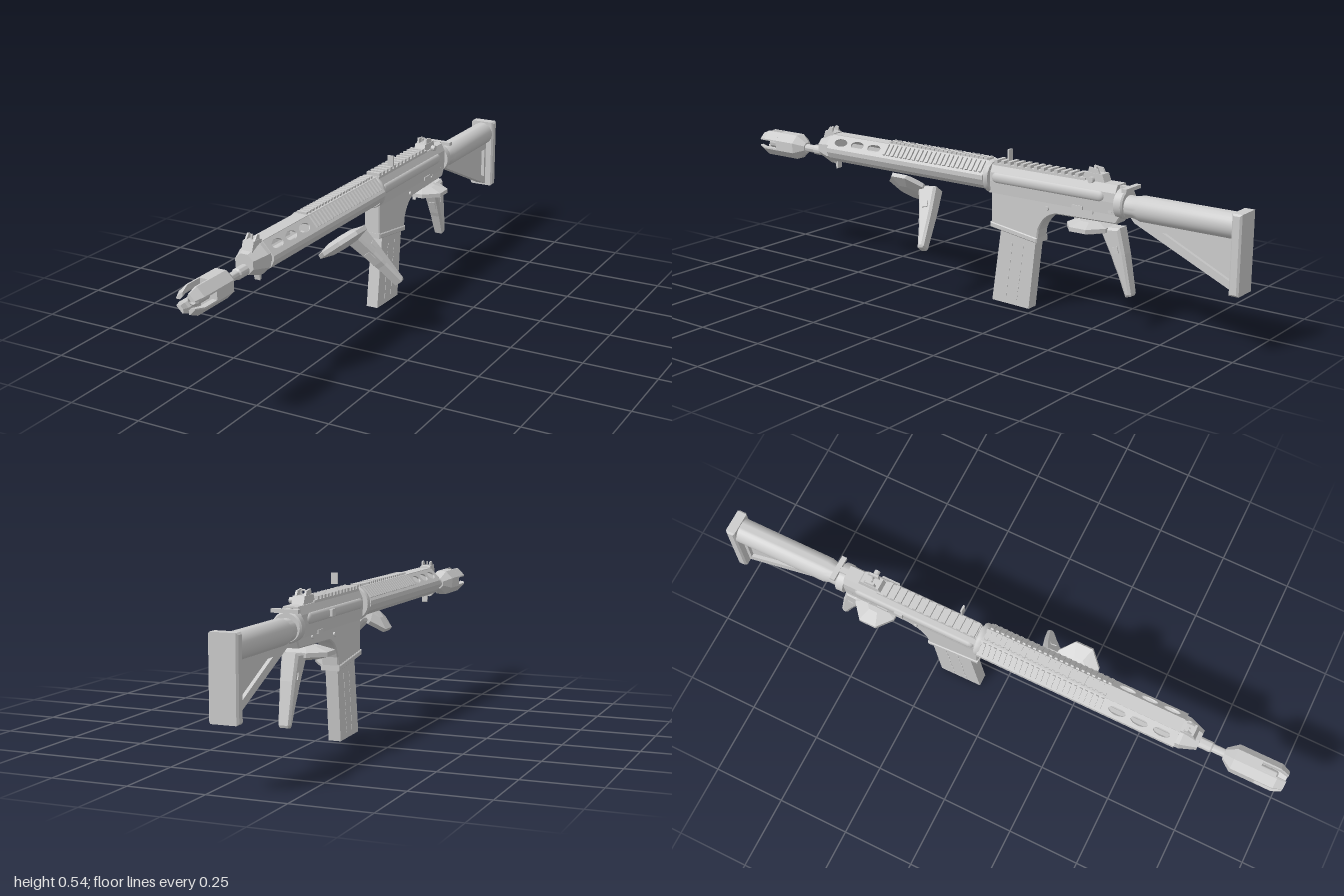
import * as THREE from 'three';
import { toCreasedNormals } from 'three/addons/utils/BufferGeometryUtils.js';

const grey = new THREE.MeshStandardMaterial({ color: 0xcccccc });
const flat = new THREE.MeshStandardMaterial({ color: 0xcccccc, flatShading: true });
const AXIS = 0.41;

function add(parent, name, geo, mat = flat) {
  const m = new THREE.Mesh(geo, mat);
  m.name = name;
  parent.add(m);
  return m;
}
const toShape = pts => new THREE.Shape(pts.map(p => new THREE.Vector2(p[0], p[1])));

function box(parent, name, w, h, d, x, y, z) {
  const m = add(parent, name, new THREE.BoxGeometry(w, h, d));
  m.position.set(x, y, z);
  return m;
}
// side profile in (z, y), extruded across x
function side(parent, name, shape, width, x = 0, bevel = 0) {
  const s = Array.isArray(shape) ? toShape(shape) : shape;
  const g = new THREE.ExtrudeGeometry(s, {
    depth: width - 2 * bevel, bevelEnabled: bevel > 0, bevelSize: bevel,
    bevelOffset: -bevel, bevelThickness: bevel, bevelSegments: 1, curveSegments: 8,
  });
  g.translate(0, 0, -width / 2 + bevel).rotateY(-Math.PI / 2).translate(x, 0, 0);
  return add(parent, name, g);
}
// front profile in (x, y), extruded from z0 to z1
function along(parent, name, pts, z0, z1) {
  const g = new THREE.ExtrudeGeometry(toShape(pts), { depth: z1 - z0, bevelEnabled: false });
  g.translate(0, 0, z0);
  return add(parent, name, g);
}
// turned part on the z axis from [radius, z] pairs
function turned(parent, name, pts, sides = 32, y = AXIS) {
  const g = new THREE.LatheGeometry(pts.map(p => new THREE.Vector2(p[0], p[1])), sides);
  g.rotateX(Math.PI / 2);
  if (sides < 12) g.rotateZ(Math.PI / sides);
  g.translate(0, y, 0);
  return add(parent, name, sides < 12 ? g : toCreasedNormals(g, 0.6), sides < 12 ? flat : grey);
}
const mirrorX = pts => pts.concat(pts.slice().reverse().map(([x, y]) => [-x, y]));

// grip: faceted wide collar with a raked, tapered handle
function grip(name) {
  const g = new THREE.Group();
  g.name = name;
  const collar = new THREE.LatheGeometry(
    [[0, -0.022], [0.5, -0.02], [1, -0.007], [1, 0.007], [0.5, 0.02], [0, 0.022]]
      .map(p => new THREE.Vector2(...p)), 8);
  collar.rotateY(Math.PI / 8).scale(0.0947, 1, 0.079);
  add(g, 'gripCollar', collar);
  const handle = side(g, 'gripHandle', [[-0.115, 0.012], [-0.135, -0.07], [-0.16, -0.2],
    [-0.157, -0.208], [-0.139, -0.212], [-0.108, -0.135], [-0.1, -0.12], [-0.085, -0.085],
    [-0.04, 0.005]], 0.056, 0, 0.008);
  const p = handle.geometry.attributes.position;
  for (let i = 0; i < p.count; i++) p.setX(i, p.getX(i) * (1 + 0.3 * Math.min(0, p.getY(i)) / 0.21));
  handle.geometry.computeVertexNormals();
  for (const s of [-1, 1]) {
    box(g, 'gripButton', 0.006, 0.022, 0.02, s * 0.026, -0.06, -0.105).rotation.x = 0.3;
  }
  box(g, 'gripFrontButton', 0.024, 0.03, 0.01, 0, -0.085, -0.087).rotation.x = 0.4;
  return g;
}

export function createModel() {
  const root = new THREE.Group();
  const gun = new THREE.Group();
  gun.name = 'rifle';
  gun.position.x = -0.058;
  root.add(gun);

  // muzzle device: octagonal body with four tapered prongs
  turned(gun, 'muzzleBody', [[0, 0.79], [0.02, 0.79], [0.0475, 0.825], [0.0475, 0.91], [0, 0.91]], 8);
  for (let i = 0; i < 4; i++) {
    const m = along(gun, 'muzzleProng', [[0.013, 0.044], [0.0182, 0.044], [0.044, 0.0182],
      [0.044, 0.013], [0.026, 0.013], [0.013, 0.026]], 0.91, 0.97);
    const tip = along(gun, 'muzzleProngTip', [[0.013, 0.044], [0.0182, 0.044], [0.044, 0.0182],
      [0.044, 0.013], [0.026, 0.013], [0.013, 0.026]], 0.97, 1);
    const p = tip.geometry.attributes.position;
    for (let k = 0; k < p.count; k++) if (p.getZ(k) > 0.99) p.setXY(k, p.getX(k) * 0.72, p.getY(k) * 0.72);
    tip.geometry.computeVertexNormals();
    for (const q of [m, tip]) { q.position.y = AXIS; q.rotation.z = i * Math.PI / 2; }
  }
  turned(gun, 'muzzleCore', [[0, 0.9], [0.02, 0.9], [0.02, 0.965], [0.014, 0.97], [0.014, 0.95], [0, 0.95]]);
  turned(gun, 'barrel', [[0, 0.3], [0.018, 0.3], [0.018, 0.745], [0.014, 0.75], [0.014, 0.8], [0, 0.8]]);

  // front sight collar, post and protective ears
  turned(gun, 'frontSightCollar', [[0, 0.635], [0.054, 0.635], [0.054, 0.65], [0.034, 0.705], [0, 0.705]], 8, 0.428);
  side(gun, 'frontSightBase', [[0.635, 0.47], [0.635, 0.488], [0.65, 0.492], [0.68, 0.492], [0.695, 0.45]], 0.038);
  for (const s of [-1, 1]) {
    side(gun, 'frontSightEar', [[0.645, 0.485], [0.647, 0.505], [0.658, 0.508], [0.678, 0.485]], 0.006, s * 0.015);
  }
  box(gun, 'frontSightPost', 0.005, 0.025, 0.006, 0, 0.495, 0.66);
  side(gun, 'slingLug', [[0.63, 0.39], [0.63, 0.358], [0.638, 0.355], [0.645, 0.39]], 0.02);

  // handguard: solid rear, vented hollow front
  const lower = [[0, 0.384], [0.03, 0.389], [0.05, 0.405], [0.06, 0.425], [0.06, 0.44]];
  along(gun, 'handguardRear', mirrorX([...lower, [0.022, 0.484]]).slice(0, -1), -0.06, 0.375);
  const channel = [...lower, [0.054, 0.44], [0.054, 0.425], [0.045, 0.409], [0.028, 0.395], [0, 0.39]];
  for (const s of [1, -1]) {
    const pts = channel.map(([x, y]) => [s * x, y]);
    along(gun, 'handguardLowerShell', pts, 0.375, 0.637);
  }
  box(gun, 'handguardTopStrip', 0.046, 0.007, 0.262, 0, 0.481, 0.506);
  const dx = 0.038, dy = 0.044, len = Math.hypot(dx, dy);
  for (const s of [1, -1]) {
    const panel = new THREE.Group();
    panel.name = 'handguardSlope';
    panel.applyMatrix4(new THREE.Matrix4().makeBasis(new THREE.Vector3(0, 0, 1),
      new THREE.Vector3(-s * dx / len, dy / len, 0),
      new THREE.Vector3(-dy / len, -s * dx / len, 0)).setPosition(s * 0.06, 0.44, 0));
    gun.add(panel);
    const sh = toShape([[0.375, 0], [0.637, 0], [0.637, len], [0.375, len]]);
    for (const z of [0.43, 0.507, 0.585]) {
      sh.holes.push(new THREE.Path().absellipse(z, len * 0.5, 0.029, 0.015, 0, Math.PI * 2));
    }
    const g = new THREE.ExtrudeGeometry(sh, { depth: 0.005, bevelEnabled: false, curveSegments: 16 });
    if (s < 0) g.translate(0, 0, -0.005);
    add(panel, 'ventedPanel', g);
    for (let z = -0.045; z < 0.375; z += 0.019) box(panel, 'slopeRib', 0.01, len * 0.75, 0.012, z, len * 0.55, 0);
  }
  box(gun, 'handguardRail', 0.026, 0.008, 0.43, 0, 0.486, 0.16);
  for (let z = -0.045; z < 0.375; z += 0.019) box(gun, 'handguardRailTooth', 0.034, 0.009, 0.01, 0, 0.487, z);
  turned(gun, 'handguardRing', [[0, -0.075], [0.054, -0.075], [0.057, -0.07], [0.057, -0.06], [0.054, -0.055], [0, -0.055]], 32, 0.43);

  // receiver: rounded upper, lower with magazine well
  along(gun, 'upperReceiver', mirrorX([[0.034, 0.38], [0.037, 0.42], [0.036, 0.45], [0.024, 0.475]]), -0.56, -0.07);
  const low = toShape([[-0.075, 0.42], [-0.075, 0.265], [-0.26, 0.238], [-0.265, 0.28]]);
  low.quadraticCurveTo(-0.285, 0.335, -0.335, 0.345);
  for (const p of [[-0.56, 0.35], [-0.575, 0.375], [-0.575, 0.42]]) low.lineTo(...p);
  side(gun, 'lowerReceiver', low, 0.058, 0, 0.004);
  side(gun, 'magazineWellLip', [[-0.072, 0.28], [-0.072, 0.262], [-0.262, 0.235], [-0.262, 0.253]], 0.066, 0, 0.003);
  for (const s of [-1, 1]) {
    const bar = add(gun, 'receiverSideBar', new THREE.CapsuleGeometry(0.018, 0.4, 4, 12), grey);
    bar.rotation.x = Math.PI / 2;
    bar.scale.x = 0.6;
    bar.position.set(s * 0.034, 0.434, -0.3);
    for (const [y, z] of [[0.36, -0.3], [0.375, -0.47], [0.39, -0.54]]) {
      const pin = add(gun, 'receiverPin', new THREE.CylinderGeometry(0.007, 0.007, 0.008, 12), grey);
      pin.rotation.z = Math.PI / 2;
      pin.position.set(s * 0.031, y, z);
    }
    box(gun, 'receiverLever', 0.008, 0.012, 0.04, s * 0.034, 0.385, -0.42);
  }
  box(gun, 'boltAssist', 0.02, 0.022, 0.03, -0.042, 0.435, -0.35);
  box(gun, 'receiverRail', 0.05, 0.01, 0.36, 0, 0.476, -0.26);
  for (let z = -0.09; z > -0.43; z -= 0.0265) box(gun, 'receiverRailTooth', 0.05, 0.013, 0.013, 0, 0.485, z);

  // rear sight, charging handle and the small sight plate above the rail
  side(gun, 'rearSightBase', [[-0.425, 0.475], [-0.435, 0.5], [-0.5, 0.5], [-0.51, 0.475]], 0.04);
  for (const s of [-1, 1]) {
    side(gun, 'rearSightEar', [[-0.445, 0.495], [-0.45, 0.518], [-0.482, 0.514], [-0.492, 0.495]], 0.007, s * 0.015);
  }
  const knob = add(gun, 'rearSightKnob', new THREE.CylinderGeometry(0.01, 0.01, 0.014, 12), grey);
  knob.rotation.z = Math.PI / 2;
  knob.position.set(0.036, 0.482, -0.47);
  add(gun, 'rearSightAperture', new THREE.TorusGeometry(0.008, 0.003, 6, 16), grey).position.set(0, 0.507, -0.465);
  box(gun, 'chargingHandleStem', 0.018, 0.01, 0.09, 0, 0.466, -0.55);
  box(gun, 'chargingHandle', 0.088, 0.012, 0.018, 0, 0.466, -0.595);
  box(gun, 'sightPlate', 0.022, 0.037, 0.006, 0.031, 0.519, -0.152);

  // magazine with raised ribs and a row of indicator marks
  side(gun, 'magazine', [[-0.113, 0.28], [-0.255, 0.28], [-0.225, 0], [-0.075, 0.004]], 0.042);
  for (const s of [-1, 1]) {
    for (const dz of [0, -0.045]) {
      for (let i = 0; i < 7; i++) {
        const y = 0.03 + i * 0.03;
        box(gun, 'magazineMark', 0.003, 0.018, 0.005, s * 0.021, y, -0.127 + dz - y * 0.13).rotation.x = -0.12;
      }
    }
  }

  // trigger and the two matching grips
  side(gun, 'trigger', [[-0.385, 0.35], [-0.4, 0.35], [-0.403, 0.32], [-0.39, 0.305], [-0.394, 0.325]], 0.012);
  const rear = grip('rearGrip');
  rear.position.set(0, 0.325, -0.455);
  gun.add(rear);
  const fore = grip('foreGrip');
  fore.position.set(0.065, 0.357, 0.238);
  fore.rotation.z = 0.66;
  gun.add(fore);

  // stock: tube, triangular brace and butt plate
  turned(gun, 'stockRing', [[0, -0.59], [0.044, -0.59], [0.049, -0.585], [0.049, -0.56], [0, -0.56]], 32, 0.415);
  turned(gun, 'stockTube', [[0, -0.97], [0.042, -0.97], [0.042, -0.64], [0.036, -0.62], [0.036, -0.58], [0, -0.58]], 32, 0.408);
  const frame = toShape([[-0.6, 0.385], [-0.62, 0.362], [-0.97, 0.205], [-0.97, 0.385]]);
  frame.holes.push(new THREE.Path([[-0.72, 0.348], [-0.955, 0.348], [-0.955, 0.238]].map(p => new THREE.Vector2(...p))));
  side(gun, 'stockBrace', frame, 0.036);
  side(gun, 'stockWeb', [[-0.7, 0.355], [-0.96, 0.355], [-0.96, 0.23]], 0.012);
  side(gun, 'buttPlate', [[-0.967, 0.455], [-1, 0.455], [-1, 0.2], [-0.967, 0.2]], 0.092, 0, 0.006);
  return root;
}
